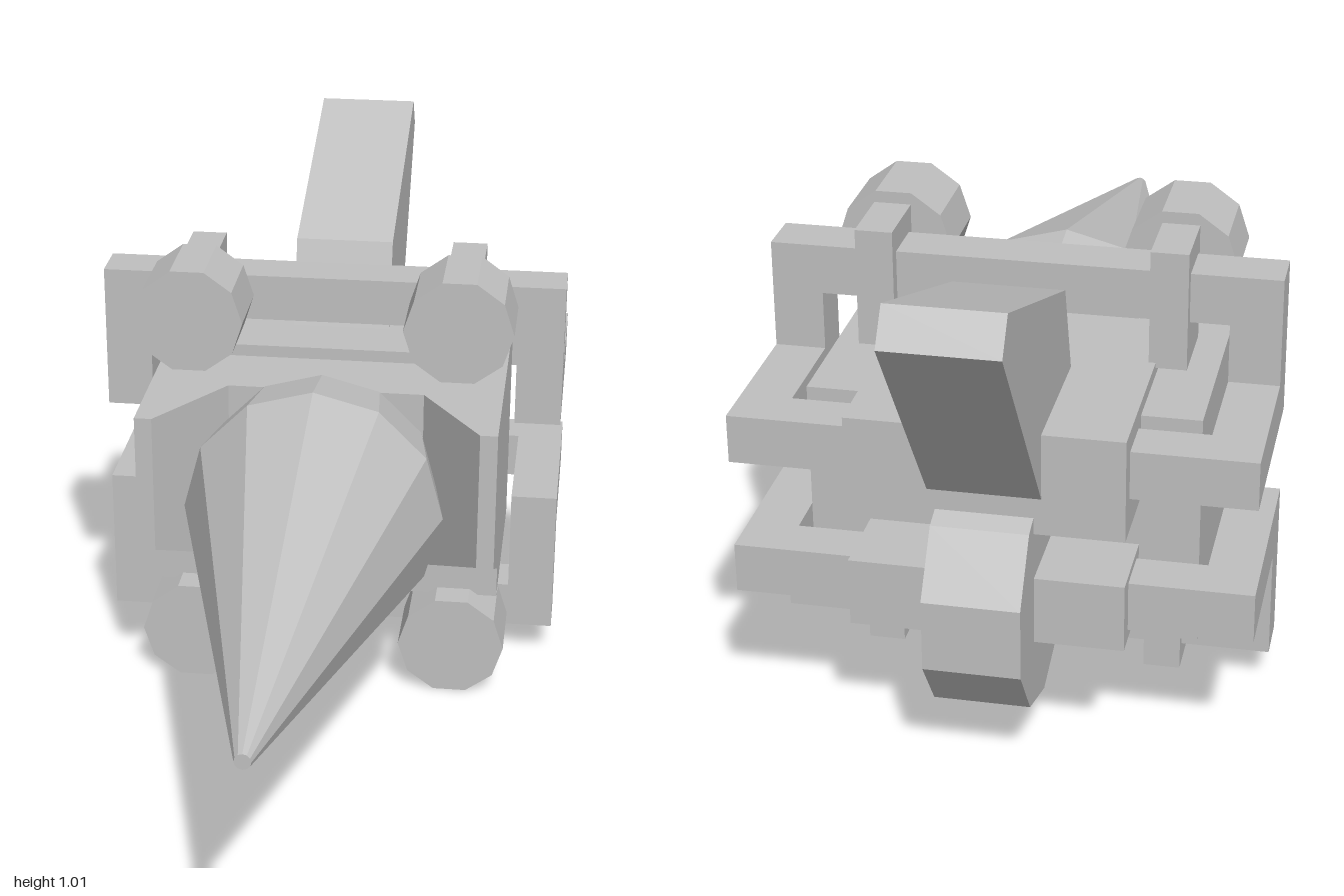
import * as THREE from 'three';
import { ConvexGeometry } from 'three/addons/geometries/ConvexGeometry.js';

export function createModel() {
  const model = new THREE.Group();
  const grey = new THREE.MeshStandardMaterial({ color: 0xc0c0c0, flatShading: true });
  grey.name = 'light grey';

  function add(name, geometry, x = 0, y = 0, z = 0) {
    const mesh = new THREE.Mesh(geometry, grey);
    mesh.name = name;
    mesh.position.set(x, y, z);
    model.add(mesh);
    return mesh;
  }
  // Box given by its limits on each axis
  function box(name, x0, x1, y0, y1, z0, z1) {
    return add(name, new THREE.BoxGeometry(Math.abs(x1 - x0), y1 - y0, z1 - z0),
      (x0 + x1) / 2, (y0 + y1) / 2, (z0 + z1) / 2);
  }

  // Long twelve-sided nose cone
  const profile = [[0, -0.08], [0.232, -0.08], [0.258, 0.07], [0.015, 1], [0, 1]]
    .map(([r, h]) => new THREE.Vector2(r, h));
  add('noseCone', new THREE.LatheGeometry(profile, 12).rotateX(Math.PI / 2), 0, 0.477, 0);
  add('noseConnector', new THREE.CylinderGeometry(0.075, 0.075, 0.1, 10).rotateX(Math.PI / 2), 0, 0.477, -0.11);

  // Main body and the blocks on its back
  box('body', -0.36, 0.36, 0.2, 0.65, -0.545, -0.14);
  box('upperBackBlock', -0.25, 0.25, 0.48, 0.675, -0.7, -0.3);
  box('lowerBackBlock', -0.25, 0.25, 0.26, 0.39, -0.7, -0.5);

  // Tapered cheeks beside the nose
  for (const s of [-1, 1]) {
    const corners = [
      [0.36, 0.36, 0.045], [0.325, 0.36, 0.045], [0.36, 0.65, 0.045], [0.325, 0.65, 0.045],
      [0.36, 0.265, -0.14], [0.2, 0.265, -0.14], [0.36, 0.65, -0.14], [0.2, 0.65, -0.14],
    ].map(([x, y, z]) => new THREE.Vector3(s * x, y, z));
    add('cheek', new ConvexGeometry(corners));
  }

  // Upper and lower bent frames, each with two wheels
  const frames = [
    { label: 'upper', bar: [0.75, 0.845], post: [0.545, 0.845], arm: [0.545, 0.637], stem: [0.665, 0.892], wheelY: 0.81 },
    { label: 'lower', bar: [0.07, 0.165], post: [0.07, 0.375], arm: [0.28, 0.375], stem: [0.03, 0.25], wheelY: 0.108 },
  ];
  const wheel = new THREE.CylinderGeometry(0.11, 0.11, 0.16, 10, 1, false, Math.PI / 2).rotateX(Math.PI / 2);
  for (const { label, bar, post, arm, stem, wheelY } of frames) {
    box(label + 'CrossBar', -0.475, 0.475, ...bar, -0.355, -0.26);
    for (const s of [-1, 1]) {
      box(label + 'Post', s * 0.38, s * 0.475, ...post, -0.355, -0.26);
      box(label + 'Arm', s * 0.38, s * 0.475, ...arm, -0.66, -0.26);
      box(label + 'ArmEnd', s * 0.22, s * 0.475, ...arm, -0.66, -0.57);
      box(label + 'WheelStem', s * 0.237, s * 0.307, ...stem, -0.38, -0.23);
      add(label + 'Wheel', wheel, s * 0.27, wheelY, -0.16);
    }
  }

  // Ten-sided disc at the lower back
  add('rearDisc', new THREE.CylinderGeometry(0.218, 0.218, 0.176, 10, 1, false, Math.PI / 2)
    .rotateZ(Math.PI / 2), 0, 0.323, -0.61);

  // Swept tail fin, outlined in side view as [z, y]
  const outline = [[-0.42, 0.66], [-0.48, 0.85], [-0.955, 1.017], [-1, 0.955], [-0.7, 0.55], [-0.6, 0.55]];
  const finPoints = outline.flatMap(([z, y]) => [-0.102, 0.102].map((x) => new THREE.Vector3(x, y, z)));
  add('tailFin', new ConvexGeometry(finPoints));

  return model;
}
